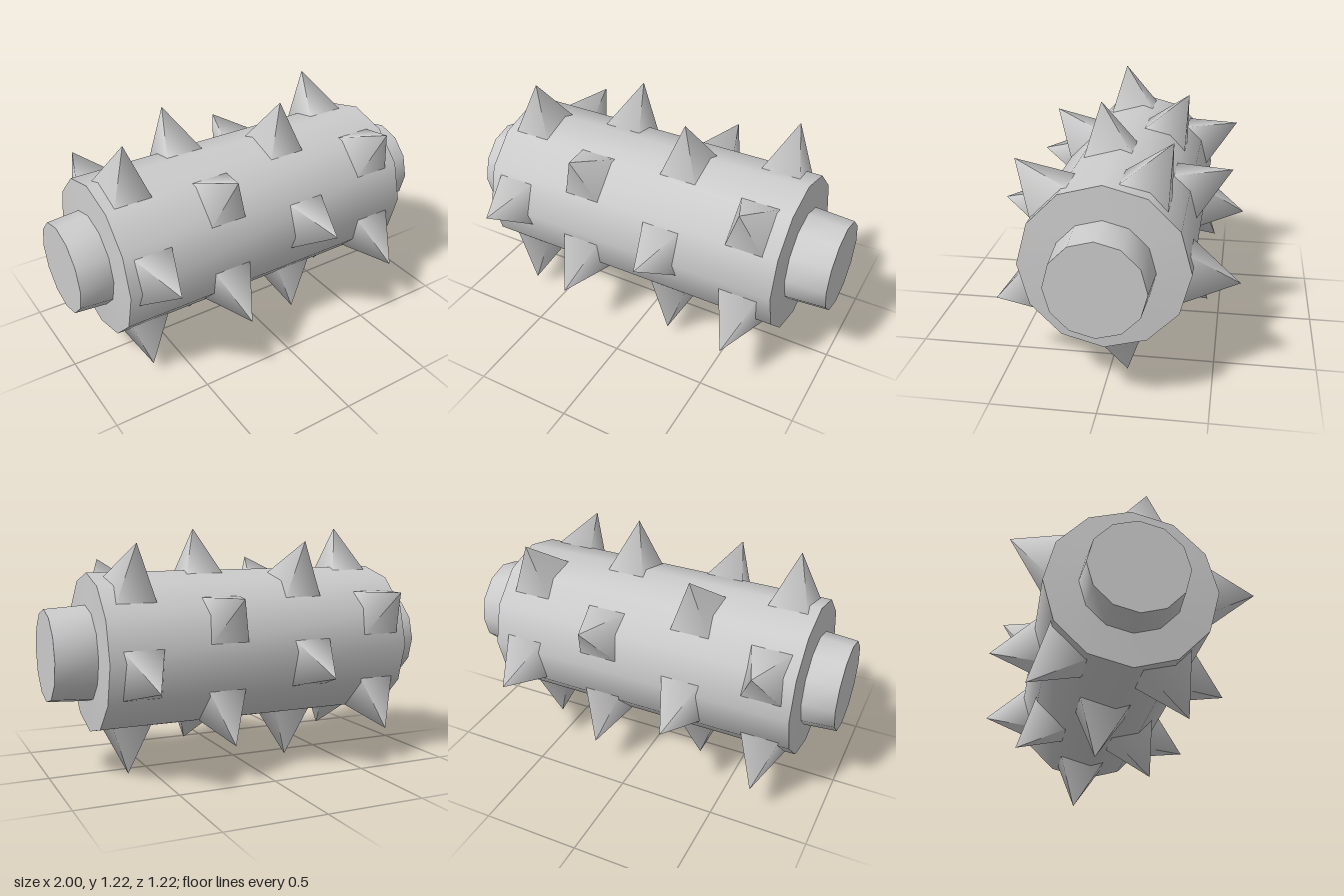
import * as THREE from 'three';
import { toCreasedNormals } from 'three/addons/utils/BufferGeometryUtils.js';

export function createModel() {
  const model = new THREE.Group();
  const material = new THREE.MeshStandardMaterial({ color: 0xcccccc });
  const roller = new THREE.Group();
  roller.name = 'spikedRoller';
  roller.position.y = 0.62;
  model.add(roller);

  // Twelve-sided drum with slightly domed caps and tapered axle stubs, along x
  const profile = [
    [0, -1], [0.228, -1], [0.24, -0.838], [0.398, -0.828],
    [0.398, 0.788], [0.24, 0.798], [0.228, 1], [0, 1],
  ].map(([r, x]) => new THREE.Vector2(r, x));
  const drumGeometry = toCreasedNormals(new THREE.LatheGeometry(profile, 12), 0.7);
  drumGeometry.rotateZ(-Math.PI / 2);
  const drum = new THREE.Mesh(drumGeometry, material);
  drum.name = 'drumAndAxle';
  roller.add(drum);

  // Four-sided spike pointing up, its base sunk into the drum
  const baseRadius = 0.365, tipRadius = 0.62, height = tipRadius - baseRadius;
  const spikeGeometry = new THREE.ConeGeometry(Math.SQRT2, height, 4);
  spikeGeometry.rotateY(Math.PI / 4);
  spikeGeometry.scale(0.1, 1, 0.123);
  spikeGeometry.translate(0, baseRadius + height / 2, 0);

  // Four staggered rings of five spikes; angles run from the front over the top
  const rings = [[-0.68, 80], [-0.27, 118], [0.185, 80], [0.62, 118]];
  for (const [x, start] of rings) {
    const ring = new THREE.Group();
    ring.name = 'spikeRing';
    ring.position.x = x;
    for (let i = 0; i < 5; i++) {
      const spike = new THREE.Mesh(spikeGeometry, material);
      spike.name = 'spike';
      spike.rotation.x = THREE.MathUtils.degToRad(90 - start - 72 * i);
      ring.add(spike);
    }
    roller.add(ring);
  }
  return model;
}
